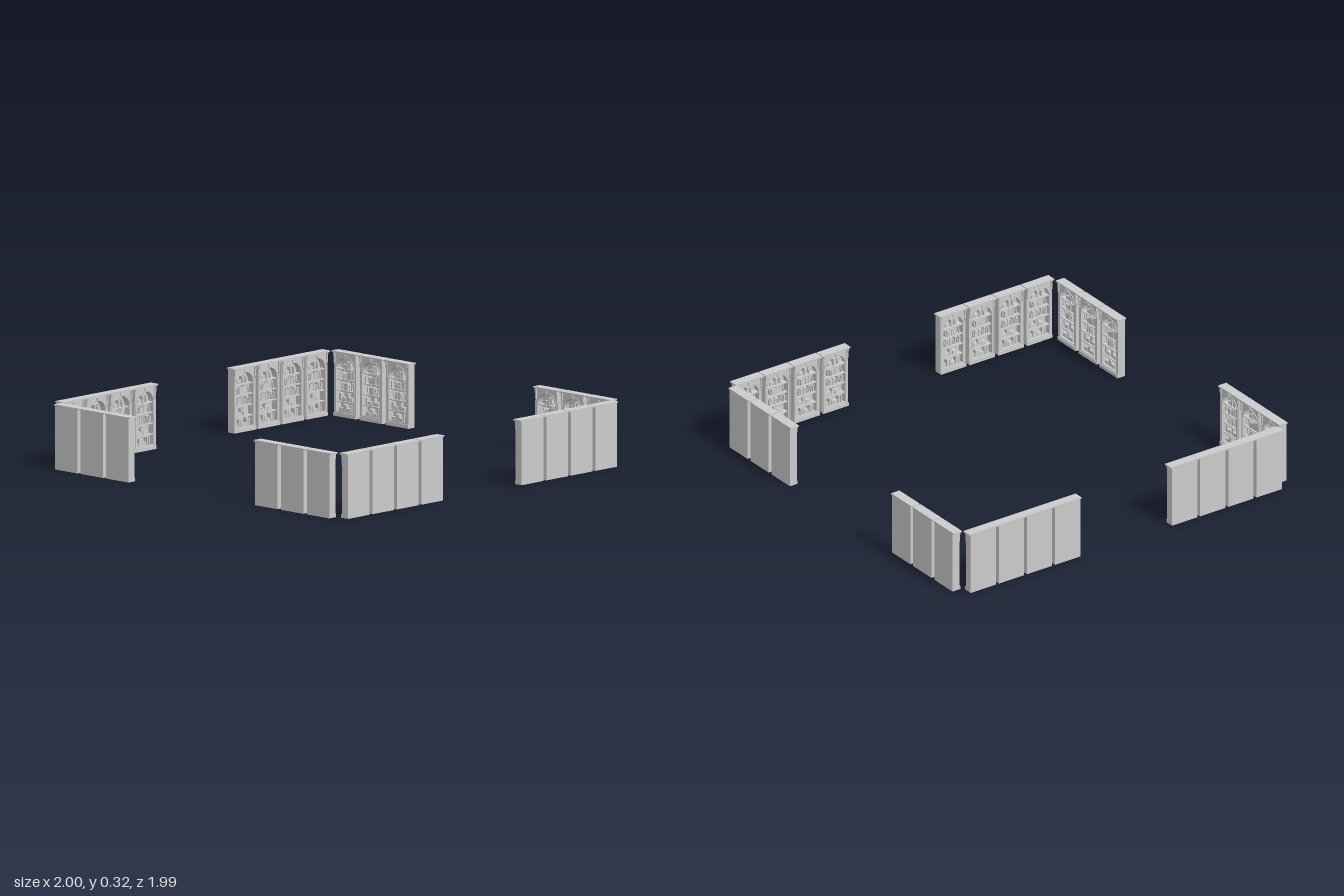
import * as THREE from 'three';
import { mergeGeometries } from 'three/addons/utils/BufferGeometryUtils.js';

const W = 0.152, H = 0.315, TOP_W = 0.168, BACK = -0.025, FACE = 0.015;
const OPEN = 0.061, SPRING = 0.235, FLOOR = 0.022;

function box(w, h, d, x, y, z, tilt = 0) {
  return new THREE.BoxGeometry(w, h, d).rotateZ(tilt).translate(x, y, z);
}

// Small seeded generator for the book sizes
function seeded(seed) {
  return () => (seed = (seed * 16807) % 2147483647) / 2147483647;
}

// Arched outline, used for the opening and its moulding
function archPath(path, r, bottom) {
  path.moveTo(-r, bottom);
  path.lineTo(r, bottom);
  path.lineTo(r, SPRING);
  path.absarc(0, SPRING, r, 0, Math.PI, false);
  path.lineTo(-r, bottom);
  return path;
}

function carcassGeometry() {
  const s = new THREE.Shape();
  s.moveTo(-W / 2, 0);
  s.lineTo(W / 2, 0);
  s.lineTo(W / 2, H);
  s.lineTo(-W / 2, H);
  s.closePath();
  s.holes.push(archPath(new THREE.Path(), OPEN, FLOOR));
  return new THREE.ExtrudeGeometry(s, { depth: FACE - BACK - 0.005, bevelEnabled: false, curveSegments: 16 })
    .translate(0, 0, BACK + 0.005);
}

function mouldingGeometry() {
  const s = archPath(new THREE.Shape(), OPEN + 0.006, FLOOR);
  s.holes.push(archPath(new THREE.Path(), OPEN - 0.002, FLOOR + 0.004));
  return new THREE.ExtrudeGeometry(s, { depth: 0.004, bevelEnabled: false, curveSegments: 16 })
    .translate(0, 0, FACE - 0.001);
}

// Tapered bracket under the cornice, drawn in side profile
function bracketGeometry(x) {
  const s = new THREE.Shape();
  s.moveTo(0, 0.255);
  s.lineTo(0.004, 0.262);
  s.quadraticCurveTo(0.005, 0.295, 0.009, H);
  s.lineTo(0, H);
  s.closePath();
  return new THREE.ExtrudeGeometry(s, { depth: 0.008, bevelEnabled: false, curveSegments: 5 })
    .rotateY(-Math.PI / 2).translate(x + 0.004, 0, FACE);
}

const shelfLevels = [FLOOR, 0.076, 0.130, 0.184, 0.236];

function shelvesGeometry() {
  return mergeGeometries(shelfLevels.slice(1).map(y =>
    box(OPEN * 2, 0.005, 0.031, 0, y - 0.0025, -0.005)));
}

function booksGeometry() {
  const rnd = seeded(4127), parts = [];
  shelfLevels.forEach((y, level) => {
    const limit = level === 4 ? 0.044 : OPEN - 0.004;
    let x = -limit;
    while (x < limit - 0.008) {
      const pick = rnd();
      const h = 0.029 + rnd() * 0.013, d = 0.018 + rnd() * 0.006;
      const z = BACK + 0.005 + d / 2;
      if (pick < 0.12 && x < limit - 0.03) {
        // Flat stack
        for (let i = 0; i < 3; i++) parts.push(box(0.027 - i * 0.002, 0.006, d, x + 0.014, y + 0.003 + i * 0.0065, z));
        x += 0.03;
      } else if (pick < 0.27 && x < limit - 0.016) {
        // Leaning book
        parts.push(box(0.006, h, d, x + 0.008, y + h / 2, z, 0.2));
        x += 0.016;
      } else if (pick < 0.35) {
        x += 0.01;
      } else {
        const w = 0.005 + rnd() * 0.004;
        parts.push(box(w, h, d, x + w / 2, y + h / 2, z));
        x += w + 0.0007;
      }
    }
  });
  return mergeGeometries(parts);
}

export function createModel() {
  const model = new THREE.Group();
  model.name = 'libraryBookcases';
  const material = new THREE.MeshStandardMaterial({ color: 0xcccccc, flatShading: true });

  // One bookcase, open side facing +z
  const bookcase = new THREE.Group();
  const edge = W / 2 - 0.005;
  const parts = {
    archedCarcass: carcassGeometry(),
    backPanel: box(W, H, 0.005, 0, H / 2, BACK + 0.0025),
    archMoulding: mouldingGeometry(),
    plinth: box(W, 0.018, 0.006, 0, 0.009, FACE + 0.003),
    pilasters: mergeGeometries([-edge, edge].map(x => box(0.007, 0.24, 0.003, x, 0.135, FACE + 0.0015))),
    brackets: mergeGeometries([-edge, edge].map(bracketGeometry)),
    keystone: box(0.010, 0.016, 0.007, 0, 0.301, FACE + 0.0035),
    cornice: box(TOP_W, 0.007, 0.05, 0, H + 0.0035, 0),
    shelves: shelvesGeometry(),
    books: booksGeometry(),
  };
  for (const [name, geometry] of Object.entries(parts)) {
    const mesh = new THREE.Mesh(geometry, material);
    mesh.name = name;
    bookcase.add(mesh);
  }

  // Rows around the room: side, wall position, first and last edge, number of cases
  const rows = [
    ['back', -0.968, -0.935, -0.262, 4],
    ['back', -0.968, 0.272, 0.945, 4],
    ['front', 0.968, -0.955, -0.27, 4],
    ['front', 0.968, 0.266, 0.953, 4],
    ['right', -0.975, -0.94, -0.428, 3],
    ['right', -0.975, 0.408, 0.926, 3],
    ['left', 0.975, -0.938, -0.417, 3],
    ['left', 0.975, 0.42, 0.941, 3],
  ];
  const turn = { back: 0, front: Math.PI, right: Math.PI / 2, left: -Math.PI / 2 };
  for (const [side, wall, start, end, count] of rows) {
    const row = new THREE.Group();
    row.name = side + 'Row';
    const step = (end - start - TOP_W) / (count - 1);
    for (let i = 0; i < count; i++) {
      const unit = bookcase.clone();
      const along = start + TOP_W / 2 + i * step;
      unit.name = 'bookcase';
      unit.rotation.y = turn[side];
      if (side === 'back' || side === 'front') unit.position.set(along, 0, wall);
      else unit.position.set(wall, 0, along);
      row.add(unit);
    }
    model.add(row);
  }
  return model;
}
